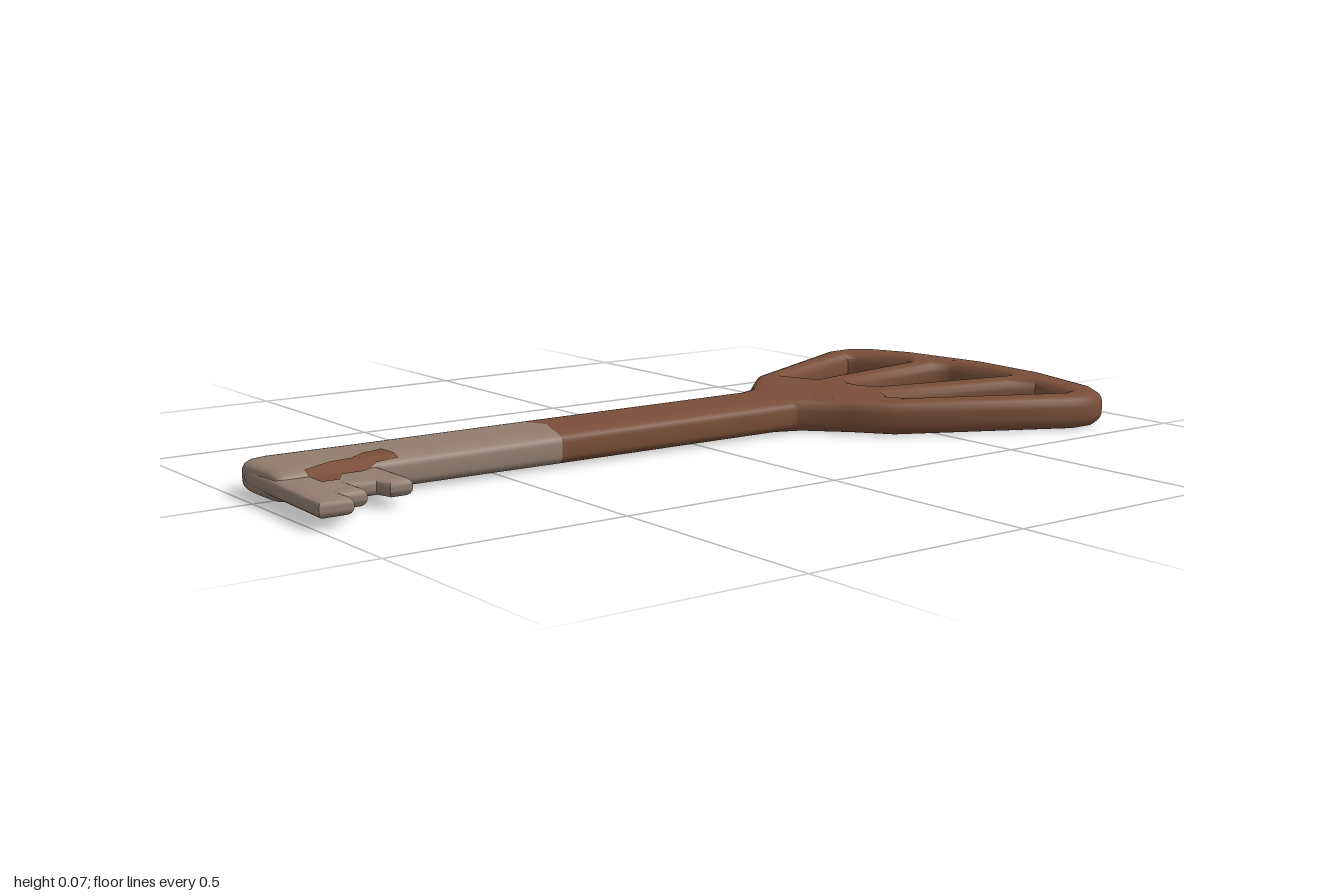
import * as THREE from 'three';
import { toCreasedNormals } from 'three/addons/utils/BufferGeometryUtils.js';

const MID = 0.0375; // mid height of the key
const N = 48;       // points around the shaft

// Bevelled plate lying flat, from clockwise outlines of [x, z] points
function plate(outline, holes, height, bevel, rise) {
  const toV = (pts) => pts.map(([x, z]) => new THREE.Vector2(x, -z)).reverse();
  const shape = new THREE.Shape(toV(outline));
  for (const h of holes) shape.holes.push(new THREE.Path(toV(h)));
  const depth = height - 2 * rise;
  const geo = new THREE.ExtrudeGeometry(shape, {
    depth, bevelEnabled: true, bevelSize: bevel, bevelOffset: -bevel,
    bevelThickness: rise, bevelSegments: 4,
  });
  geo.translate(0, 0, -depth / 2);
  geo.rotateX(-Math.PI / 2);
  geo.translate(0, MID, 0);
  return toCreasedNormals(geo, 1.0);
}

// Soft-cornered tube through rings of [z (number or function of x), left, right, half height]
function loft(rings, capped) {
  const pos = [], idx = [];
  const soft = (v) => Math.sign(v) * Math.sqrt(Math.abs(v));
  for (const [z, l, r, h] of rings) {
    for (let j = 0; j < N; j++) {
      const t = (j / N) * Math.PI * 2;
      const x = (l + r) / 2 + ((r - l) / 2) * soft(Math.cos(t));
      pos.push(x, MID + h * soft(Math.sin(t)), typeof z === 'function' ? z(x) : z);
    }
  }
  for (let i = 0; i < rings.length - 1; i++) {
    for (let j = 0; j < N; j++) {
      const k = (j + 1) % N, a = i * N, b = a + N;
      idx.push(a + j, a + k, b + k, a + j, b + k, b + j);
    }
  }
  if (capped) {
    const [z, l, r] = rings[rings.length - 1], c = pos.length / 3, a = c - N;
    pos.push((l + r) / 2, MID, z);
    for (let j = 0; j < N; j++) idx.push(c, a + j, a + ((j + 1) % N));
  }
  return surface(pos, idx);
}

function surface(pos, idx) {
  const geo = new THREE.BufferGeometry();
  geo.setAttribute('position', new THREE.Float32BufferAttribute(pos, 3));
  geo.setIndex(idx);
  geo.computeVertexNormals();
  return geo;
}

// Thin stain hugging the shaft and blade, from rows of [z, left, right]; side is 1 on top, -1 underneath
function stain(rows, side) {
  const pos = [], idx = [], cols = 16, steps = 5;
  const height = (x) => THREE.MathUtils.mapLinear(THREE.MathUtils.clamp(x, 0.055, 0.09), 0.055, 0.09, 0.0345, 0.0175) + 0.0015;
  const count = (rows.length - 1) * steps;
  for (let i = 0; i <= count; i++) {
    const k = Math.min(Math.floor(i / steps), rows.length - 2);
    const [z, l, r] = rows[k].map((v, n) => THREE.MathUtils.lerp(v, rows[k + 1][n], i / steps - k));
    for (let j = 0; j <= cols; j++) {
      const x = l + ((r - l) * j) / cols;
      pos.push(x, MID + side * height(x), z);
    }
  }
  for (let i = 0; i < count; i++) {
    for (let j = 0; j < cols; j++) {
      const a = i * (cols + 1) + j, b = a + cols + 1;
      if (side > 0) idx.push(a, b, b + 1, a, b + 1, a + 1);
      else idx.push(a, b + 1, b, a, a + 1, b + 1);
    }
  }
  return surface(pos, idx);
}

export function createModel() {
  const group = new THREE.Group();
  group.name = 'key';
  const rust = new THREE.MeshStandardMaterial({ color: 0x794e39 });
  rust.name = 'rust';
  const metal = new THREE.MeshStandardMaterial({ color: 0x927d6e });
  metal.name = 'worn metal';
  const add = (name, geo, mat) => {
    const mesh = new THREE.Mesh(geo, mat);
    mesh.name = name;
    group.add(mesh);
    return mesh;
  };

  // Fan-shaped bow with three openings
  const bow = [
    [-0.06, -1], [0.14, -0.987], [0.35, -0.93], [0.41, -0.89], [0.434, -0.845], [0.434, -0.78],
    [0.245, -0.405], [0.165, -0.345], [0.088, -0.272], [0.06, -0.2],
    [-0.075, -0.2], [-0.103, -0.272], [-0.165, -0.33], [-0.235, -0.4],
    [-0.43, -0.795], [-0.434, -0.86], [-0.385, -0.925], [-0.285, -0.968],
  ];
  const holes = [
    [[-0.36, -0.81], [-0.345, -0.83], [-0.22, -0.88], [-0.18, -0.84],
      [-0.12, -0.49], [-0.19, -0.465], [-0.215, -0.487]],
    [[-0.09, -0.915], [0.09, -0.915], [0.115, -0.88], [0.047, -0.545],
      [0.02, -0.52], [-0.02, -0.52], [-0.06, -0.545], [-0.12, -0.88]],
    [[0.18, -0.835], [0.215, -0.88], [0.35, -0.835], [0.36, -0.805],
      [0.2, -0.48], [0.17, -0.465], [0.12, -0.495]],
  ];
  add('bow', plate(bow, holes, 0.075, 0.024, 0.026), rust);

  // Small bare spots on the inner walls of the outer openings
  for (const [x, z, nx, nz] of [[-0.155, -0.4775, -0.34, -0.94], [0.28, -0.858, -0.316, 0.949]]) {
    const spot = add('bareSpot', new THREE.CircleGeometry(0.011, 12), metal);
    spot.position.set(x + nx * 0.002, MID, z + nz * 0.002);
    spot.rotation.y = Math.atan2(nx, nz);
  }

  // Shaft, split by an uneven rust line
  const rustLine = (x) => 0.36 - 0.022 * Math.exp(-(((x + 0.012) / 0.035) ** 2));
  add('upperShaft', loft([
    [-0.29, -0.098, 0.084, 0.0372], [-0.2, -0.1, 0.082, 0.0372], [rustLine, -0.105, 0.08, 0.036],
  ], false), rust);
  add('lowerShaft', loft([
    [rustLine, -0.105, 0.08, 0.036], [0.72, -0.11, 0.08, 0.034], [0.93, -0.112, 0.08, 0.034],
    [0.955, -0.109, 0.08, 0.0325], [0.97, -0.099, 0.08, 0.03], [0.979, -0.087, 0.079, 0.026],
    [0.984, -0.07, 0.077, 0.02],
  ], true), metal);

  // Toothed blade
  add('bit', plate([
    [-0.04, 0.77], [0.197, 0.77], [0.197, 0.817], [0.162, 0.827], [0.162, 0.88], [0.227, 0.88],
    [0.227, 0.93], [0.272, 0.93], [0.272, 0.999], [-0.06, 0.986],
  ], [], 0.035, 0.013, 0.015), metal);

  // Rust stains on both faces of the bit
  const rows = [
    [0.73, 0.005, 0.07], [0.78, 0.02, 0.075], [0.82, 0.05, 0.1], [0.865, 0.055, 0.1],
    [0.89, 0.06, 0.14], [0.925, 0.068, 0.138],
  ];
  add('topStain', stain(rows, 1), rust);
  add('bottomStain', stain(rows.slice(3), -1), rust);
  return group;
}
